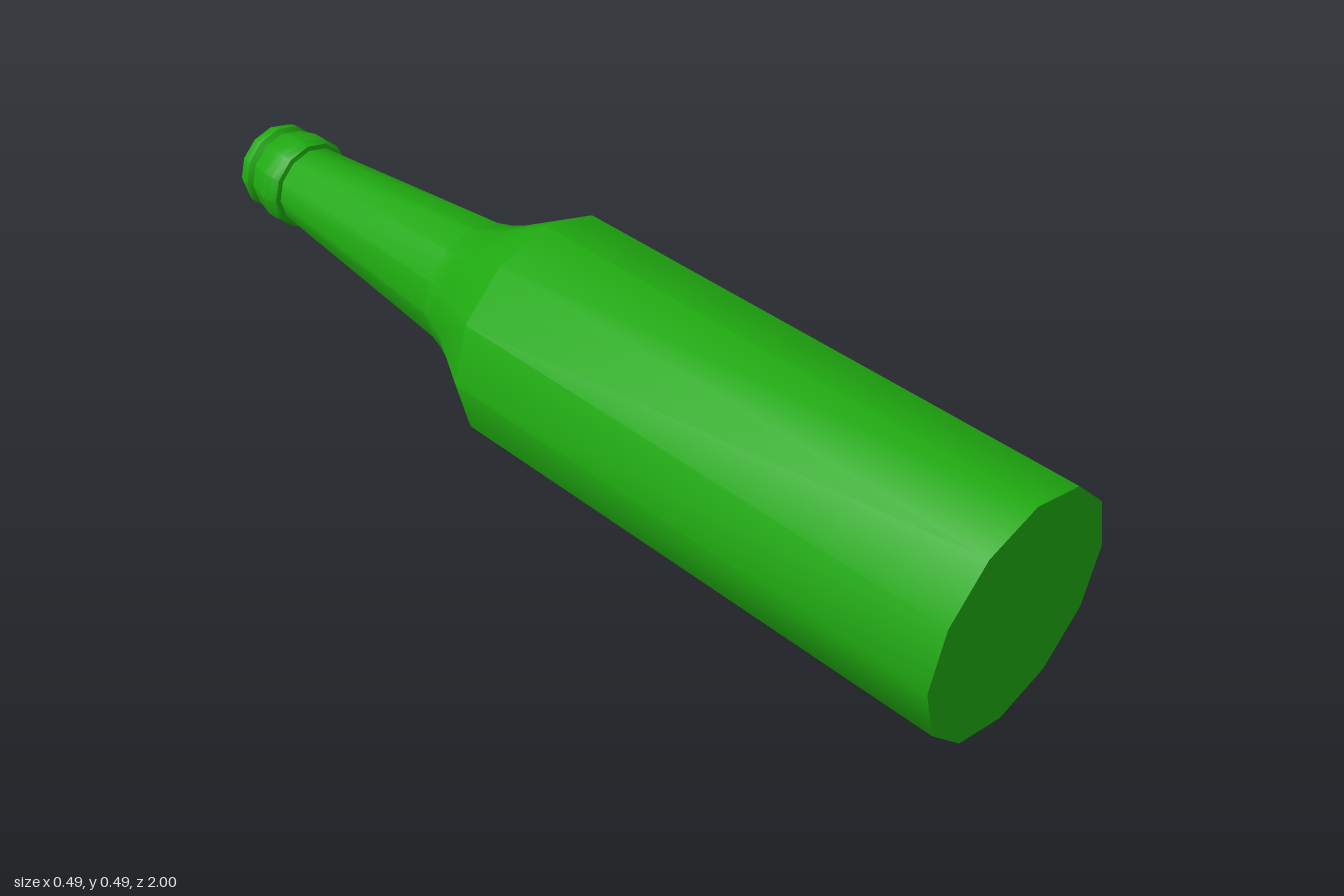
import * as THREE from 'three';
import { toCreasedNormals } from 'three/addons/utils/BufferGeometryUtils.js';

const SIDES = 12;
const RADIUS = 0.246;

// Turned part: profile of [radius, z] pairs running from base to mouth, axis along -z
function turned(name, profile, material) {
  const points = profile.map(([r, z]) => new THREE.Vector2(r, -z));
  const geometry = new THREE.LatheGeometry(points, SIDES).rotateX(-Math.PI / 2);
  const mesh = new THREE.Mesh(toCreasedNormals(geometry, 0.54), material);
  mesh.name = name;
  mesh.position.y = RADIUS;
  return mesh;
}

export function createModel() {
  const group = new THREE.Group();
  group.name = 'bottle';
  const glass = new THREE.MeshStandardMaterial({ color: 0x1fa810 });

  // Flat base, straight body, sloping shoulder and tapered neck
  group.add(turned('bodyAndNeck', [
    [0, 1], [RADIUS, 1], [RADIUS, -0.125], [0.162, -0.27],
    [0.147, -0.305], [0.137, -0.34], [0.088, -0.868],
  ], glass));

  // Collar, groove and lip, then the bore running back into the neck
  group.add(turned('collarAndMouth', [
    [0.088, -0.865], [0.098, -0.868], [0.104, -0.885], [0.104, -0.91],
    [0.092, -0.957], [0.088, -0.962], [0.097, -0.972], [0.098, -0.978], [0.09, -1],
    [0.055, -1], [0.055, -0.82], [0, -0.82],
  ], glass));

  return group;
}
